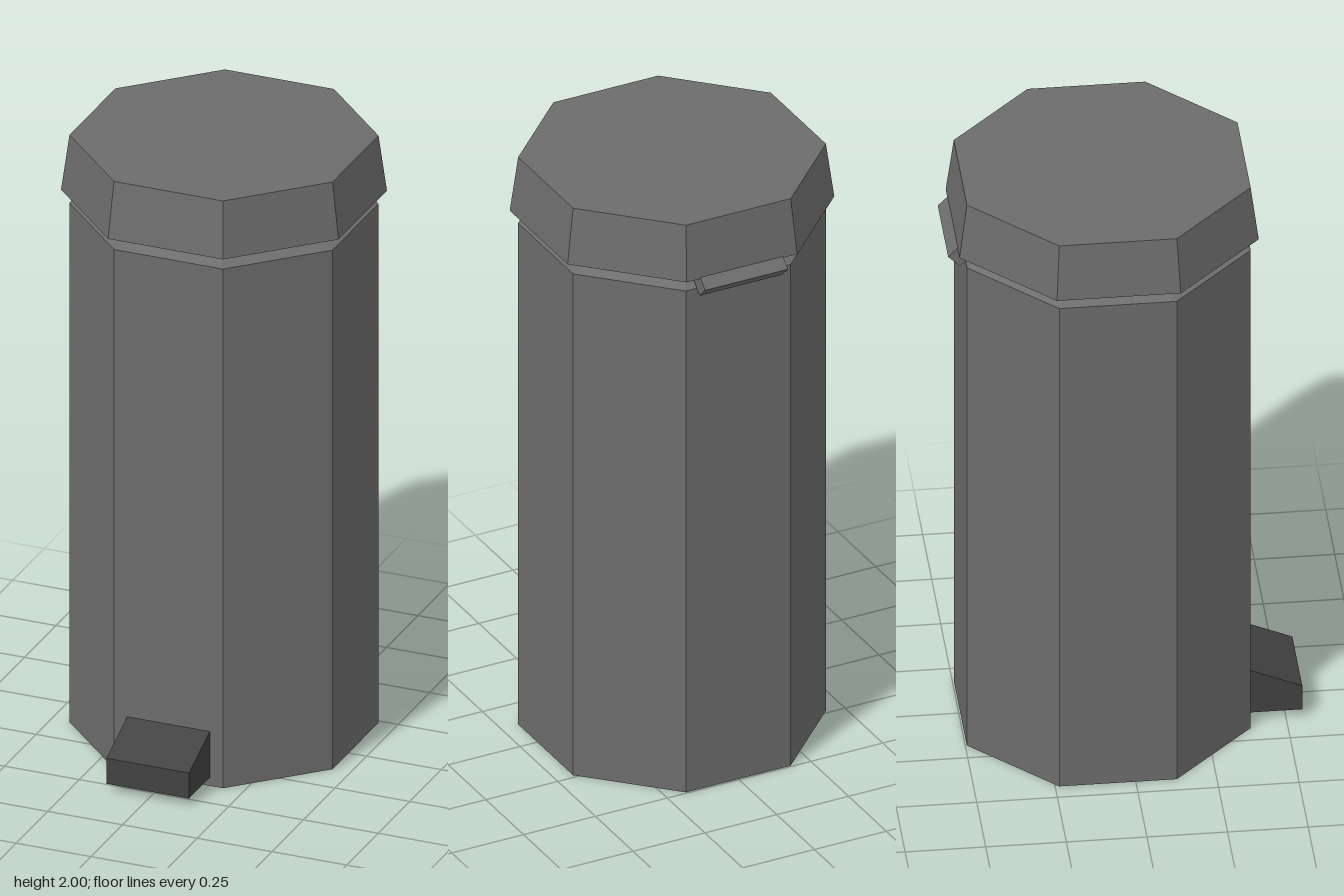
import * as THREE from 'three';

const CENTRE_Z = -0.055;

function createMaterial(color) {
  return new THREE.MeshStandardMaterial({ color, flatShading: true });
}

// Eight-sided solid from [apothem, y] pairs listed bottom to top, flats facing the axes
function octagon(name, profile, material) {
  const points = profile.map(([a, y]) => new THREE.Vector2(a / Math.cos(Math.PI / 8), y));
  const mesh = new THREE.Mesh(new THREE.LatheGeometry(points, 8, Math.PI / 8), material);
  mesh.name = name;
  mesh.position.z = CENTRE_Z;
  return mesh;
}

export function createModel() {
  const group = new THREE.Group();
  group.name = 'pedalBin';
  const metal = createMaterial(0x6c6c6c);
  const darkPlastic = createMaterial(0x414141);

  // Straight bin body with a bevelled shoulder
  group.add(octagon('body', [[0, 0], [0.44, 0], [0.44, 1.768], [0.385, 1.79], [0, 1.79]], metal));

  // Lid with a sloped underside and slightly tapered sides
  group.add(octagon('lid', [[0, 1.79], [0.385, 1.79], [0.464, 1.813], [0.44, 2], [0, 2]], metal));

  // Square hinge bar turned on its edge at the back
  const hinge = new THREE.Mesh(new THREE.CylinderGeometry(0.037, 0.037, 0.288, 4), metal);
  hinge.name = 'hinge';
  hinge.rotation.z = Math.PI / 2;
  hinge.position.set(0, 1.787, -0.512);
  group.add(hinge);

  // Wedge foot pedal, side profile drawn as (z, y) and extruded across x
  const side = new THREE.Shape([
    new THREE.Vector2(0.38, 0.028),
    new THREE.Vector2(0.55, 0.028),
    new THREE.Vector2(0.55, 0.115),
    new THREE.Vector2(0.38, 0.187),
  ]);
  const pedalGeometry = new THREE.ExtrudeGeometry(side, { depth: 0.276, bevelEnabled: false });
  pedalGeometry.translate(0, 0, -0.138).rotateY(-Math.PI / 2);
  const pedal = new THREE.Mesh(pedalGeometry, darkPlastic);
  pedal.name = 'pedal';
  group.add(pedal);

  return group;
}
